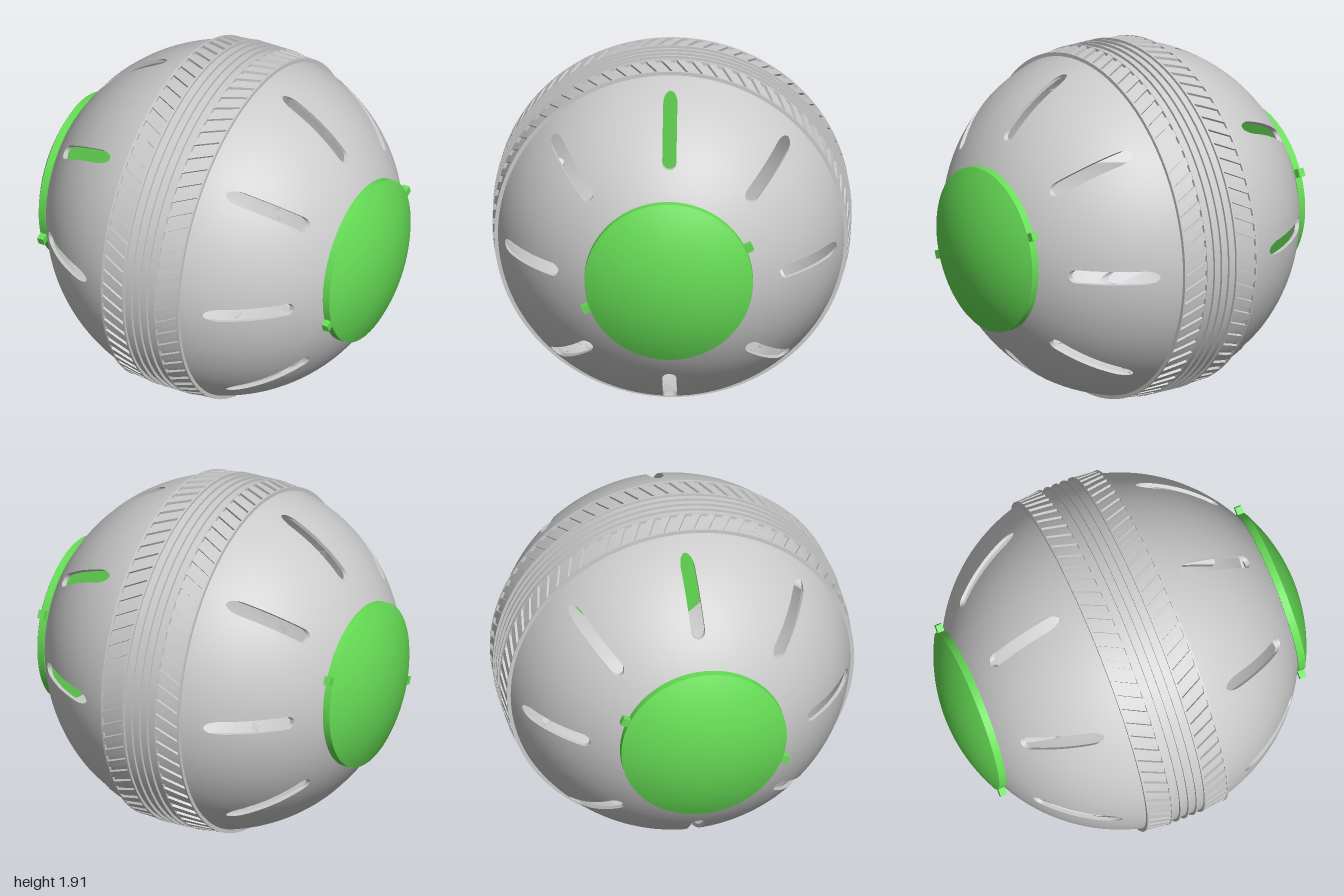
import * as THREE from 'three';
import { mergeGeometries, toCreasedNormals } from 'three/addons/utils/BufferGeometryUtils.js';

const R = 0.953;        // shell outer radius
const RI = 0.933;       // shell inner radius
const CY = 0.957;       // height of the ball centre
const SLOTS = 8;
const lerp = THREE.MathUtils.lerp;

const grey = new THREE.MeshStandardMaterial({ color: 0xcccccc });
const green = new THREE.MeshStandardMaterial({ color: 0x66dd55 });

function addMesh(parent, name, geometry, material) {
  const mesh = new THREE.Mesh(geometry, material);
  mesh.name = name;
  parent.add(mesh);
  return mesh;
}

// Point at distance r from the x axis, theta turning from +z towards +y
const around = (x, r, theta) => [x, r * Math.sin(theta), r * Math.cos(theta)];

// Outline of a radial slot as [phi, theta] on a sphere of the given radius
function slotLoop(radius, n) {
  const w = 0.038, a0 = 0.59 + w, a1 = 0.885 - w, loop = [];
  const put = (a, b) => loop.push([Math.asin(Math.hypot(a, b) / radius), Math.atan2(b, a)]);
  for (let side = 0; side < 4; side++) {
    for (let i = 0; i < n; i++) {
      const t = i / n, c = w * Math.cos(t * Math.PI), s = w * Math.sin(t * Math.PI);
      if (side === 0) put(lerp(a0, a1, t), w);
      else if (side === 1) put(a1 + s, c);
      else if (side === 2) put(lerp(a1, a0, t), -w);
      else put(a0 - s, -c);
    }
  }
  return loop;
}

// Outline of the shell sector around one slot, matched point by point
function sectorLoop(n) {
  const p0 = Math.asin(0.44 / R), p1 = Math.acos(0.228 / R), h = Math.PI / SLOTS;
  const corners = [[p0, h], [p1, h], [p1, -h], [p0, -h]], loop = [];
  corners.forEach((c, k) => {
    const d = corners[(k + 1) % 4];
    for (let i = 0; i < n; i++) loop.push([lerp(c[0], d[0], i / n), lerp(c[1], d[1], i / n)]);
  });
  return loop;
}

// One sector: inner skin, slot wall and outer skin lofted in a single pass
function sectorGeometry() {
  const n = 16, rings = 8, rows = [], positions = [], index = [];
  const rect = sectorLoop(n), inner = slotLoop(RI, n), outer = slotLoop(R, n);
  for (let k = 0; k <= rings; k++) rows.push([RI, rect, inner, k / rings]);
  for (let k = 0; k <= rings; k++) rows.push([R, outer, rect, k / rings]);
  const count = rect.length;
  rows.forEach(([radius, from, to, t], k) => {
    for (let j = 0; j < count; j++) {
      const phi = lerp(from[j][0], to[j][0], t), theta = lerp(from[j][1], to[j][1], t);
      positions.push(...around(radius * Math.cos(phi), radius * Math.sin(phi), theta));
      if (k === rows.length - 1) continue;
      const a = k * count + j, b = k * count + (j + 1) % count;
      index.push(a, a + count, b + count, a, b + count, b);
    }
  });
  const g = new THREE.BufferGeometry();
  g.setAttribute('position', new THREE.Float32BufferAttribute(positions, 3));
  g.setIndex(index);
  return g;
}

function halfShellGeometry() {
  const sector = sectorGeometry(), parts = [];
  for (let i = 0; i < SLOTS; i++) parts.push(sector.clone().rotateX(i * 2 * Math.PI / SLOTS));
  return toCreasedNormals(mergeGeometries(parts), 0.6);
}

// Lathe around the x axis from [radius, x] points
function latheX(points, segments, crease) {
  const g = new THREE.LatheGeometry(points.map(p => new THREE.Vector2(p[0], p[1])), segments);
  return toCreasedNormals(g.rotateZ(-Math.PI / 2), crease);
}

// Centre band: bed for the tread, edge rails and thin middle ridges
function bandGeometry() {
  const half = [[0.957, 0.004], [0.942, 0.004], [0.942, 0.043], [0.957, 0.043], [0.957, 0.051],
    [0.942, 0.051], [0.942, 0.09], [0.957, 0.09], [0.957, 0.1], [0.94, 0.1],
    [0.928, 0.226], [0.944, 0.226], [0.944, 0.235], [0.904, 0.235]];
  const left = half.map(([r, x]) => [r, -x]).reverse();
  const profile = [...left, ...half];
  for (let i = 0; i <= 6; i++) {
    const x = lerp(0.235, -0.235, i / 6);
    profile.push([Math.sqrt(RI * RI - x * x), x]);
  }
  profile.push(profile[0]);
  return latheX(profile, 128, 0.4);
}

// Slanted tread bars, one row on each side of the ridges
function treadGeometry(side) {
  const bars = 72, parts = [];
  for (let i = 0; i < bars; i++) {
    const g = new THREE.BoxGeometry(1, 1, 1, 3, 1, 1), p = g.attributes.position;
    for (let v = 0; v < p.count; v++) {
      const u = 0.5 + side * p.getX(v);
      const theta = i / bars * 2 * Math.PI + 0.07 * (u - 0.5) + 0.046 * p.getY(v);
      const r = p.getZ(v) > 0 ? lerp(0.955, 0.942, u) : 0.922;
      p.setXYZ(v, ...around(side * (0.097 + 0.132 * u), r, theta));
    }
    parts.push(g);
  }
  const merged = mergeGeometries(parts).toNonIndexed();
  merged.computeVertexNormals();
  return merged;
}

// Round cap with a short rim and a shallow dome
function capGeometry() {
  const profile = [[0, 0.845], [0.45, 0.845], [0.45, 0.885]];
  const dome = 0.938, sweep = Math.asin(0.45 / dome);
  for (let i = 1; i <= 14; i++) {
    const a = sweep * (1 - i / 14);
    profile.push([dome * Math.sin(a), 1 - dome * (1 - Math.cos(a))]);
  }
  return latheX(profile, 96, 0.4);
}

export function createModel() {
  const model = new THREE.Group();
  model.name = 'exerciseBall';
  const ball = new THREE.Group();
  ball.name = 'ball';
  ball.position.y = CY;
  model.add(ball);

  addMesh(ball, 'centreBand', bandGeometry(), grey);
  const shell = halfShellGeometry(), cap = capGeometry();
  for (const side of [1, -1]) {
    const label = side > 0 ? 'left' : 'right';
    const turn = side > 0 ? 0 : Math.PI;
    addMesh(ball, label + 'Shell', shell, grey).rotation.y = turn;
    addMesh(ball, label + 'Tread', treadGeometry(side), grey);

    const capGroup = new THREE.Group();
    capGroup.name = label + 'Cap';
    ball.add(capGroup);
    addMesh(capGroup, 'capDisc', cap, green).rotation.y = turn;
    // Two locking tabs on the rim
    for (const deg of [-20, 155]) {
      const theta = THREE.MathUtils.degToRad(deg);
      const tab = addMesh(capGroup, 'capTab', new THREE.BoxGeometry(0.036, 0.045, 0.08), green);
      tab.position.set(...around(side * 0.866, 0.45, theta));
      tab.rotation.x = -theta;
    }
  }
  return model;
}
